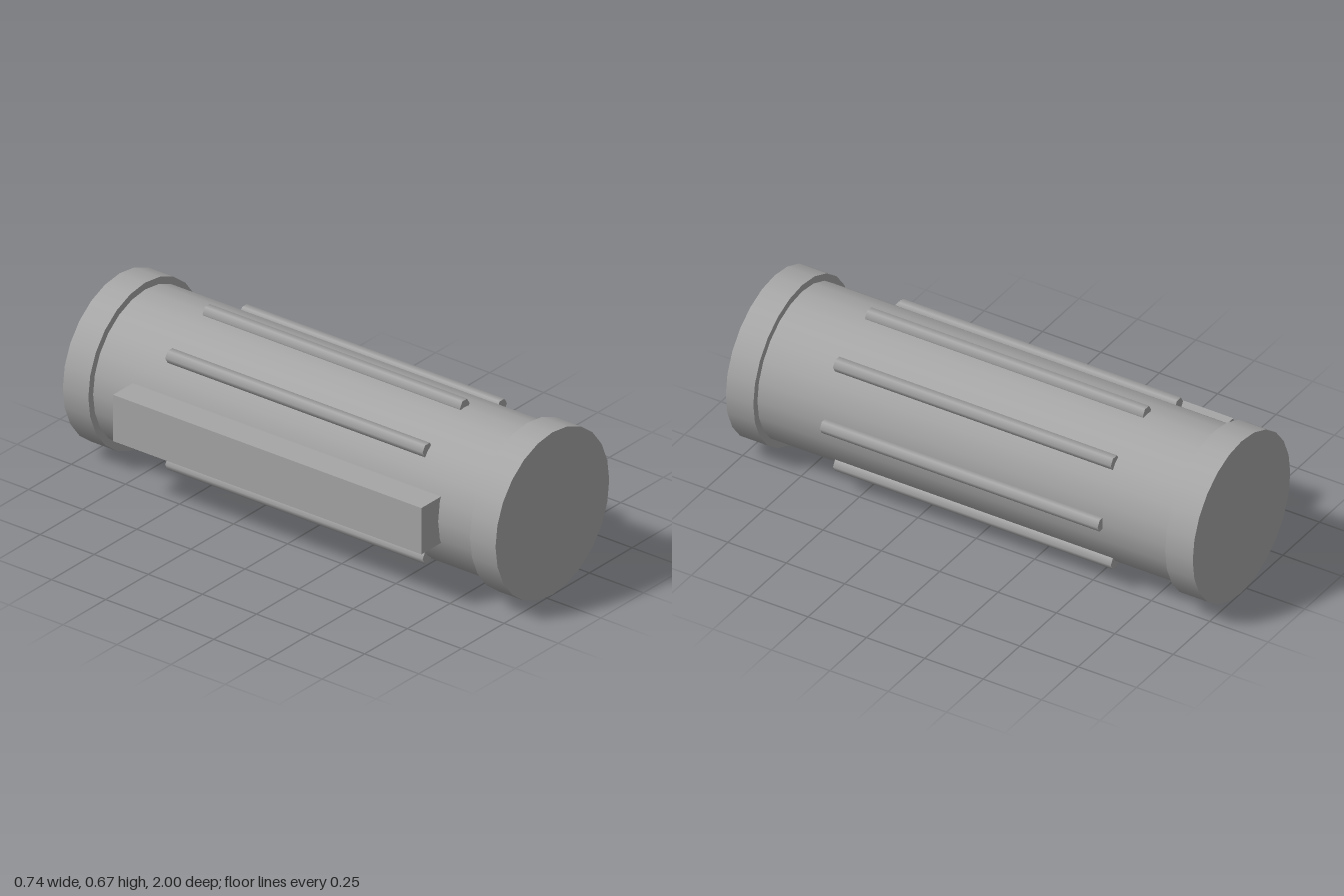
import * as THREE from 'three';

export function createModel() {
  const group = new THREE.Group();
  const grey = new THREE.MeshStandardMaterial({ color: 0xa6a6a6 });
  grey.name = 'grey';
  const axisX = 0.033, axisY = 0.335;

  const add = (name, geometry, x, y, z) => {
    const mesh = new THREE.Mesh(geometry, grey);
    mesh.name = name;
    mesh.position.set(x, y, z);
    group.add(mesh);
  };
  // Cylinder lying along z, with a corner on the x axis
  const rod = (radius, length, sides) =>
    new THREE.CylinderGeometry(radius, radius, length, sides, 1, false, Math.PI / 2).rotateX(Math.PI / 2);

  // Main barrel and its two end caps
  add('barrel', rod(0.305, 1.8, 24), axisX, axisY, 0);
  add('frontCap', rod(0.333, 0.118, 24), axisX, axisY, 0.941);
  add('backCap', rod(0.333, 0.118, 24), axisX, axisY, -0.941);

  // Seven hexagonal grip ribs, leaving the right side free for the block
  const ribGeometry = rod(0.028, 1.19, 6);
  for (let i = -3; i <= 3; i++) {
    const angle = (i * Math.PI) / 4;
    add('gripRib', ribGeometry, axisX + 0.309 * Math.cos(angle), axisY + 0.309 * Math.sin(angle), 0);
  }

  // Long rectangular block on the right side
  add('sideBlock', new THREE.BoxGeometry(0.13, 0.19, 1.425), -0.305, axisY, 0);

  return group;
}
